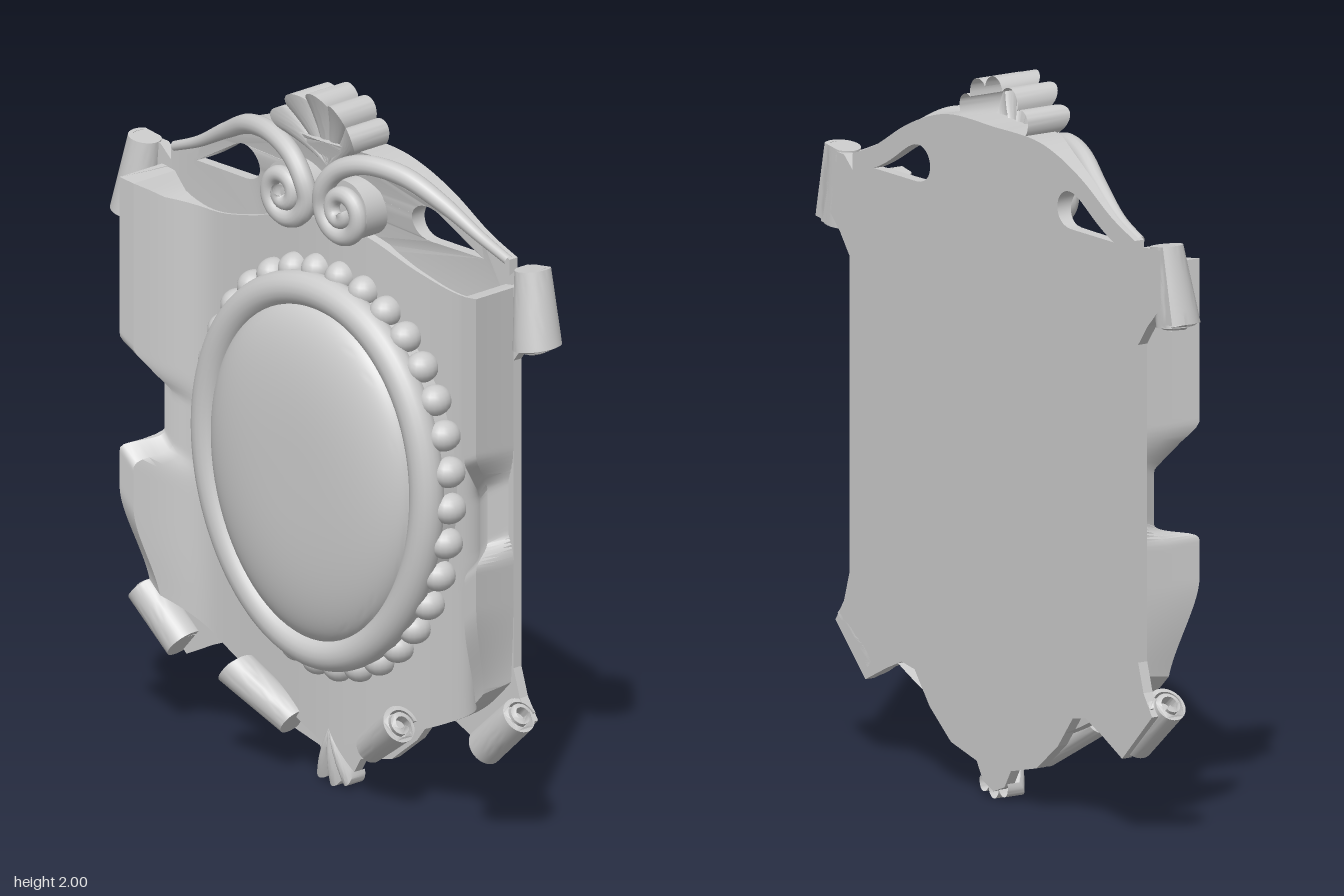
import * as THREE from 'three';
import { toCreasedNormals } from 'three/addons/utils/BufferGeometryUtils.js';

const BACK = -0.11;
const { lerp, smoothstep } = THREE.MathUtils;
const V = (x, y, z = 0) => new THREE.Vector3(x, y, z);
const material = new THREE.MeshStandardMaterial({ color: 0xcccccc, side: THREE.DoubleSide });

function add(group, name, geometry) {
  const mesh = new THREE.Mesh(geometry, material);
  mesh.name = name;
  group.add(mesh);
  return mesh;
}

// Surface through rows of points of equal length
function loft(rows, crease = 0.6) {
  const n = rows[0].length, index = [];
  for (let i = 0; i < rows.length - 1; i++) {
    for (let j = 0; j < n - 1; j++) {
      const a = i * n + j, b = a + n;
      index.push(a, a + 1, b, a + 1, b + 1, b);
    }
  }
  const g = new THREE.BufferGeometry().setFromPoints(rows.flat());
  g.setIndex(index);
  return toCreasedNormals(g, crease);
}

// Move every vertex by a rule, then smooth the normals again
function reshape(geometry, rule, crease = 0.7) {
  const p = geometry.attributes.position, v = new THREE.Vector3();
  for (let i = 0; i < p.count; i++) {
    rule(v.fromBufferAttribute(p, i));
    p.setXYZ(i, v.x, v.y, v.z);
  }
  return toCreasedNormals(geometry, crease);
}

// Smooth height curve through a few [x, y] points
function profile(points) {
  const pts = new THREE.SplineCurve(points.map(p => new THREE.Vector2(...p))).getPoints(80);
  return x => {
    const k = pts.findIndex(p => p.x >= x);
    if (k < 0) return pts[80].y;
    if (k === 0) return pts[0].y;
    return lerp(pts[k - 1].y, pts[k].y, (x - pts[k - 1].x) / (pts[k].x - pts[k - 1].x));
  };
}

// Outline mirrored across x = 0
const mirrored = half => new THREE.Shape([...half, ...half.slice().reverse().map(p => new THREE.Vector2(-p.x, p.y))]);

const egg = (a, rx, ry, z) => V(rx * Math.cos(a) * (1 + 0.06 * Math.sin(a)), 0.915 + ry * Math.sin(a), z);

// Shield panel: flat middle, sides flaring forward into thick notched flanges
function shieldGeometry() {
  const bottom = profile([[0, 0.11], [0.2, 0.19], [0.4, 0.27], [0.55, 0.35], [0.64, 0.43], [0.7, 0.5]]);
  const top = profile([[0, 1.62], [0.15, 1.605], [0.32, 1.55], [0.48, 1.52], [0.6, 1.545], [0.64, 1.59], [0.7, 1.6]]);
  const rows = [], N = 90;
  for (let i = 0; i <= N; i++) {
    const t = i / N, y = lerp(bottom(0.66), top(0.66), t);
    const notch = smoothstep(y, 0.79, 0.89) * (1 - smoothstep(y, 1.03, 1.13));
    const L = (1 - notch) * lerp(0.3, 1, smoothstep(y, 0.42, 0.68));
    const lip = 0.6 + 0.045 * L, lipZ = -0.03 + 0.105 * L;
    const half = [];
    for (let k = 0; k <= 30; k++) {
      const x = lip * k / 30, flare = Math.max(0, (x - 0.47) / (lip - 0.47));
      const base = lerp(-0.04, -0.07, smoothstep(x, 0, 0.5));
      half.push([x, lerp(base, lipZ, flare ** 2.6)]);
    }
    half.push([0.63 + 0.065 * L, lipZ + 0.004], [0.65 + 0.03 * L, lerp(BACK, lipZ, 0.5)], [0.672, BACK]);
    const row = half.map(([x, z]) => V(x, lerp(bottom(x), top(x), t), z));
    rows.push([...row.slice(1).reverse().map(p => V(-p.x, p.y, p.z)), ...row]);
  }
  const wall = row => row.map(p => V(p.x, p.y, BACK));
  return loft([wall(rows[0]), ...rows, wall(rows[N])]);
}

// Fluted fan with a wall down to the back
function fan(cy, dir, spread, lobes, radius, depth) {
  const rows = [], N = lobes * 14, M = 10;
  for (let i = 0; i <= M + 1; i++) {
    const r = Math.min(i / M, 1), row = [];
    for (let j = 0; j <= N; j++) {
      const u = j / N * 2 - 1, lobe = Math.abs(Math.cos(Math.PI * lobes / 2 * u)) ** 0.7;
      const R = r * radius(lobe, u);
      row.push(V(R * Math.sin(u * spread), cy + dir * R * Math.cos(u * spread), i > M ? BACK : depth(r, lobe)));
    }
    rows.push(row);
  }
  return loft(rows);
}

// Rolled scroll from plain end b to coiled end a, flattened on the back
function roll(a, b, ra, rb) {
  const outer = [], inner = [], turns = 1.9, length = a.distanceTo(b);
  for (let i = 0; i <= 72; i++) {
    const th = i / 72 * turns * Math.PI * 2, r = 1 - 0.33 * th / (Math.PI * 2), w = th - Math.PI / 2;
    outer.push(new THREE.Vector2(r * Math.cos(w), r * Math.sin(w)));
    inner.unshift(new THREE.Vector2((r - 0.22) * Math.cos(w), (r - 0.22) * Math.sin(w)));
  }
  const z = a.clone().sub(b).normalize(), y = V(0, 0, 1), x = y.clone().cross(z);
  const frame = new THREE.Matrix4().makeBasis(x, y, z).setPosition(b);
  const place = v => {
    const t = v.z / length, s = lerp(rb, ra, t);
    if (t > 0.99) v.z += 0.4 * ra * (1 - Math.hypot(v.x, v.y));
    v.x *= s; v.y *= s;
    v.applyMatrix4(frame);
    v.z = Math.max(v.z, BACK);
  };
  const coil = new THREE.ExtrudeGeometry(new THREE.Shape([...outer, ...inner]), { depth: length, steps: 6, bevelEnabled: false });
  const core = new THREE.CylinderGeometry(0.67, 0.67, length * 0.9, 32).rotateX(Math.PI / 2).translate(0, 0, length * 0.45);
  return [reshape(coil, place), reshape(core, place)];
}

// Tube whose radius changes along its path
function taperedTube(points, radius) {
  const curve = new THREE.CatmullRomCurve3(points), seg = 140, sides = 14;
  const g = new THREE.TubeGeometry(curve, seg, 1, sides);
  const p = g.attributes.position, v = new THREE.Vector3();
  for (let i = 0; i < p.count; i++) {
    const t = Math.floor(i / (sides + 1)) / seg, c = curve.getPointAt(t);
    v.fromBufferAttribute(p, i).sub(c).multiplyScalar(radius(t)).add(c);
    p.setXYZ(i, v.x, v.y, Math.max(v.z, BACK));
  }
  return g;
}

export function createModel() {
  const model = new THREE.Group();
  model.name = 'ornamentalShield';

  // Flat back plate
  const plate = [[0, 0.02], [0.05, 0.04], [0.08, 0.09], [0.2, 0.12], [0.3, 0.2], [0.37, 0.29], [0.43, 0.3], [0.5, 0.27],
    [0.6, 0.22], [0.74, 0.36], [0.7, 0.42], [0.675, 0.5], [0.675, 1.38], [0.72, 1.44], [0.78, 1.5], [0.78, 1.66],
    [0.7, 1.655], [0.66, 1.62], [0, 1.62]].map(p => new THREE.Vector2(...p));
  add(model, 'backPlate', new THREE.ExtrudeGeometry(mirrored(plate), { depth: 0.03, bevelEnabled: false }).translate(0, 0, BACK));

  add(model, 'shieldPanel', shieldGeometry());

  // Arched crest with two teardrop openings, thicker toward the top middle
  const arch = new THREE.SplineCurve([[0.66, 1.665], [0.55, 1.71], [0.42, 1.785], [0.3, 1.835], [0.18, 1.86], [0, 1.86]]
    .map(p => new THREE.Vector2(...p))).getPoints(24);
  const crest = mirrored([new THREE.Vector2(0, 1.54), new THREE.Vector2(0.3, 1.52), new THREE.Vector2(0.66, 1.52), ...arch]);
  for (const s of [1, -1]) {
    const hole = new THREE.Path().moveTo(s * 0.56, 1.643);
    hole.lineTo(s * 0.36, 1.643);
    hole.bezierCurveTo(s * 0.28, 1.645, s * 0.28, 1.73, s * 0.34, 1.745);
    hole.bezierCurveTo(s * 0.4, 1.755, s * 0.44, 1.69, s * 0.56, 1.643);
    crest.holes.push(hole);
  }
  const crestGeometry = new THREE.ExtrudeGeometry(crest, { depth: 0.03, bevelEnabled: false }).translate(0, 0, BACK);
  add(model, 'crest', reshape(crestGeometry, v => {
    const middle = 1 - smoothstep(Math.abs(v.x), 0, 0.6);
    if (v.z > BACK + 0.01) v.z += middle * (0.01 + 0.07 * smoothstep(v.y, 1.6, 1.85));
  }, 0.5));

  // Shell on top and pendant at the bottom
  add(model, 'shell', fan(1.78, 1, 1.08, 5, (l, u) => 0.19 + 0.03 * l - 0.025 * u * u, (r, l) => -0.03 + 0.035 * r * r + 0.027 * l * r));
  add(model, 'pendant', fan(0.17, -1, 0.5, 3, (l, u) => 0.145 + 0.025 * l - 0.01 * u * u, (r, l) => -0.035 - 0.035 * r * r + 0.02 * l * r));

  // Oval frame: pad, scalloped border, ring and domed medallion
  const around = n => Array.from({ length: n }, (_, i) => i / n * Math.PI * 2);
  const pad = new THREE.Shape(around(96).map(a => egg(a, 0.465, 0.55)).map(p => new THREE.Vector2(p.x, p.y)));
  const padGeometry = new THREE.ExtrudeGeometry(pad, { depth: 0.1, bevelEnabled: false, curveSegments: 1 }).translate(0, 0, BACK);
  add(model, 'framePad', toCreasedNormals(padGeometry, 0.6));
  const border = new THREE.Group();
  border.name = 'scallopBorder';
  const bead = new THREE.SphereGeometry(1, 18, 12);
  around(34).forEach(a => {
    const m = add(border, 'scallop', bead);
    m.position.copy(egg(a, 0.468, 0.56, -0.04));
    m.scale.set(0.043, 0.043, 0.05);
  });
  model.add(border);
  const ringPath = new THREE.CatmullRomCurve3(around(48).map(a => egg(a, 0.425, 0.515, 0.005)), true);
  add(model, 'ovalRing', new THREE.TubeGeometry(ringPath, 128, 0.048, 18, true));
  const dome = [];
  for (let i = 0; i <= 28; i++) {
    const r = Math.sin(i / 28 * Math.PI / 2), row = [];
    for (let j = 0; j <= 80; j++) row.push(egg(j / 80 * Math.PI * 2, 0.39 * r, 0.48 * r, 0.01 + 0.1 * Math.sqrt(Math.max(0, 1 - r ** 3.2))));
    dome.push(row);
  }
  add(model, 'medallion', loft(dome, 1));

  // Scrolls of one side, then mirrored
  const side = new THREE.Group();
  side.name = 'leftScrolls';
  const rolls = {
    upperScroll: [V(0.78, 1.455, -0.06), V(0.75, 1.665, -0.075), 0.077, 0.058],
    lowerScroll: [V(0.73, 0.38, -0.05), V(0.59, 0.255, -0.06), 0.062, 0.064],
    innerScroll: [V(0.32, 0.265, 0.005), V(0.15, 0.145, -0.05), 0.065, 0.055],
  };
  for (const [name, args] of Object.entries(rolls)) roll(...args).forEach((g, i) => add(side, name + (i ? 'Core' : ''), g));

  // Crest rope running down the arch into a spiral volute
  const path = [V(0.65, 1.66, -0.085), V(0.55, 1.7, -0.08), V(0.42, 1.77, -0.06), V(0.3, 1.825, -0.03), V(0.18, 1.835, 0),
    V(0.09, 1.8, 0.015), V(0.04, 1.74, 0.02)];
  for (let i = 0; i <= 18; i++) {
    const t = i / 18, a = Math.PI * (1 + 3.1 * t), r = lerp(0.083, 0.012, t);
    path.push(V(0.113 + r * Math.cos(a), 1.69 + r * Math.sin(a), 0.015 + 0.015 * t));
  }
  add(side, 'crestRope', taperedTube(path, t => 0.014 + 0.014 * smoothstep(t, 0, 0.35) - 0.006 * smoothstep(t, 0.6, 1)));
  const backing = new THREE.CylinderGeometry(0.085, 0.085, 0.12, 36).rotateX(Math.PI / 2).translate(0.113, 1.69, BACK + 0.06);
  add(side, 'voluteBacking', backing);
  const other = side.clone();
  other.name = 'rightScrolls';
  other.scale.x = -1;
  model.add(side, other);

  return model;
}
